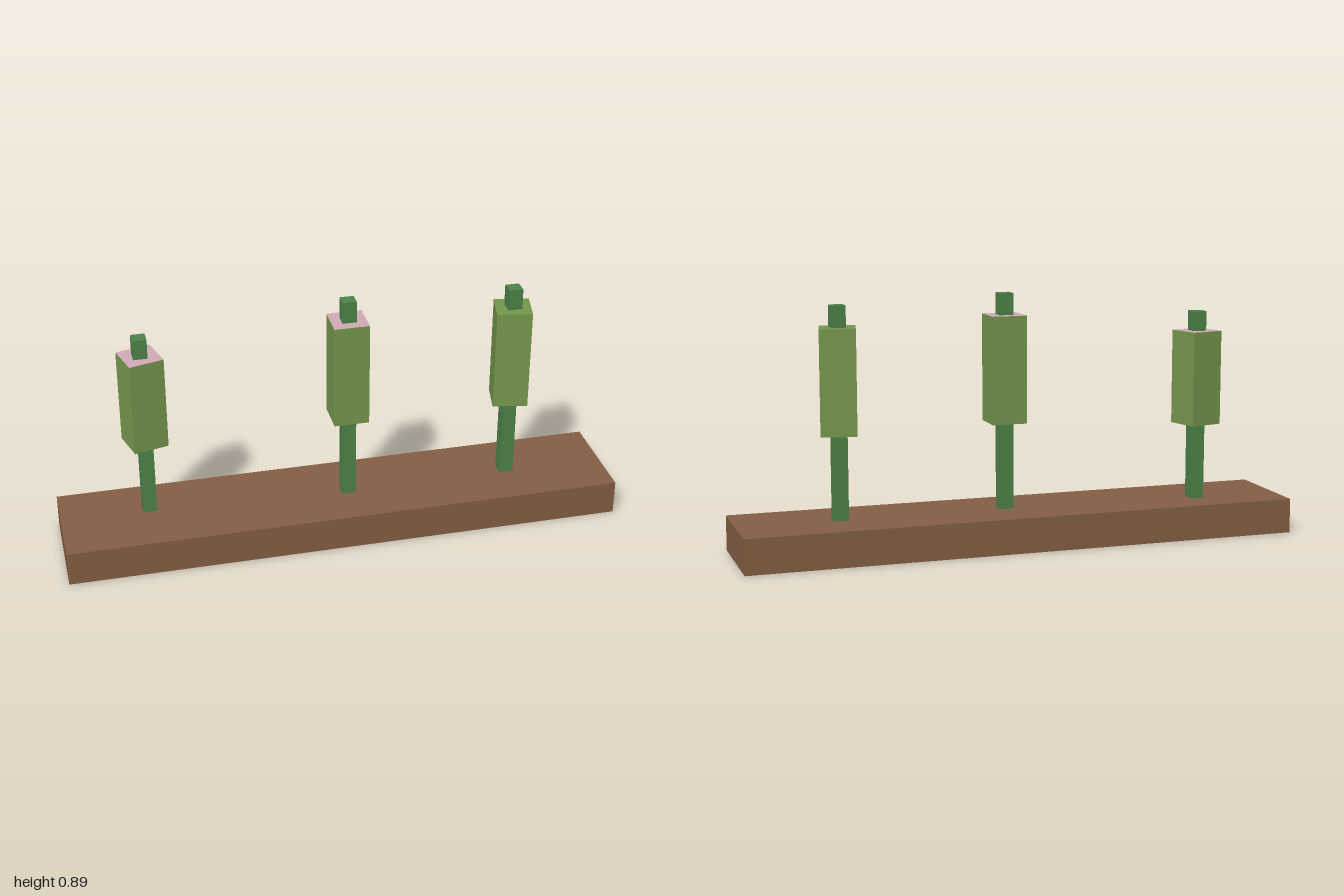
import * as THREE from 'three';

const material = (name, color) =>
  new THREE.MeshStandardMaterial({ name, color, side: THREE.DoubleSide });

// Box standing on y = 0 with no bottom face; groups: 0 = walls, 1 = top
function openBox(width, height, depth) {
  const geometry = new THREE.BoxGeometry(width, height, depth);
  geometry.translate(0, height / 2, 0);
  const index = Array.from(geometry.index.array);
  index.splice(18, 6); // drop the bottom face
  geometry.setIndex(index);
  geometry.clearGroups();
  geometry.addGroup(0, 12, 0);
  geometry.addGroup(12, 6, 1);
  geometry.addGroup(18, 12, 0);
  return geometry;
}

export function createModel() {
  const soil = material('soil brown', 0x835e43);
  const stemGreen = material('stem green', 0x4c8248);
  const headGreen = material('head green', 0x74964c);
  const pink = material('pale pink', 0xd0aab4);

  const model = new THREE.Group();
  model.name = 'plantBed';

  const add = (parent, name, geometry, walls, top = walls) => {
    const mesh = new THREE.Mesh(geometry, [walls, top]);
    mesh.name = name;
    parent.add(mesh);
    return mesh;
  };

  // Hollow bed
  const bedHeight = 0.125;
  add(model, 'bed', openBox(2, bedHeight, 0.376), soil);

  // Three plants: a straight stem through a turned block head
  const plants = [
    { x: -0.683, z: -0.04, turn: 15, low: 0.4, high: 0.74, tip: 0.811, top: pink },
    { x: 0.035, z: 0.005, turn: 0, low: 0.435, high: 0.816, tip: 0.893, top: pink },
    { x: 0.635, z: -0.005, turn: -12, low: 0.425, high: 0.793, tip: 0.869, top: headGreen },
  ];
  for (const p of plants) {
    const plant = new THREE.Group();
    plant.name = 'plant';
    plant.position.set(p.x, 0, p.z);
    const stem = add(plant, 'stem', openBox(0.05, p.tip - bedHeight, 0.05), stemGreen);
    stem.position.y = bedHeight;
    const head = add(plant, 'head', openBox(0.125, p.high - p.low, 0.125), headGreen, p.top);
    head.position.y = p.low;
    head.rotation.y = THREE.MathUtils.degToRad(p.turn);
    model.add(plant);
  }
  return model;
}
